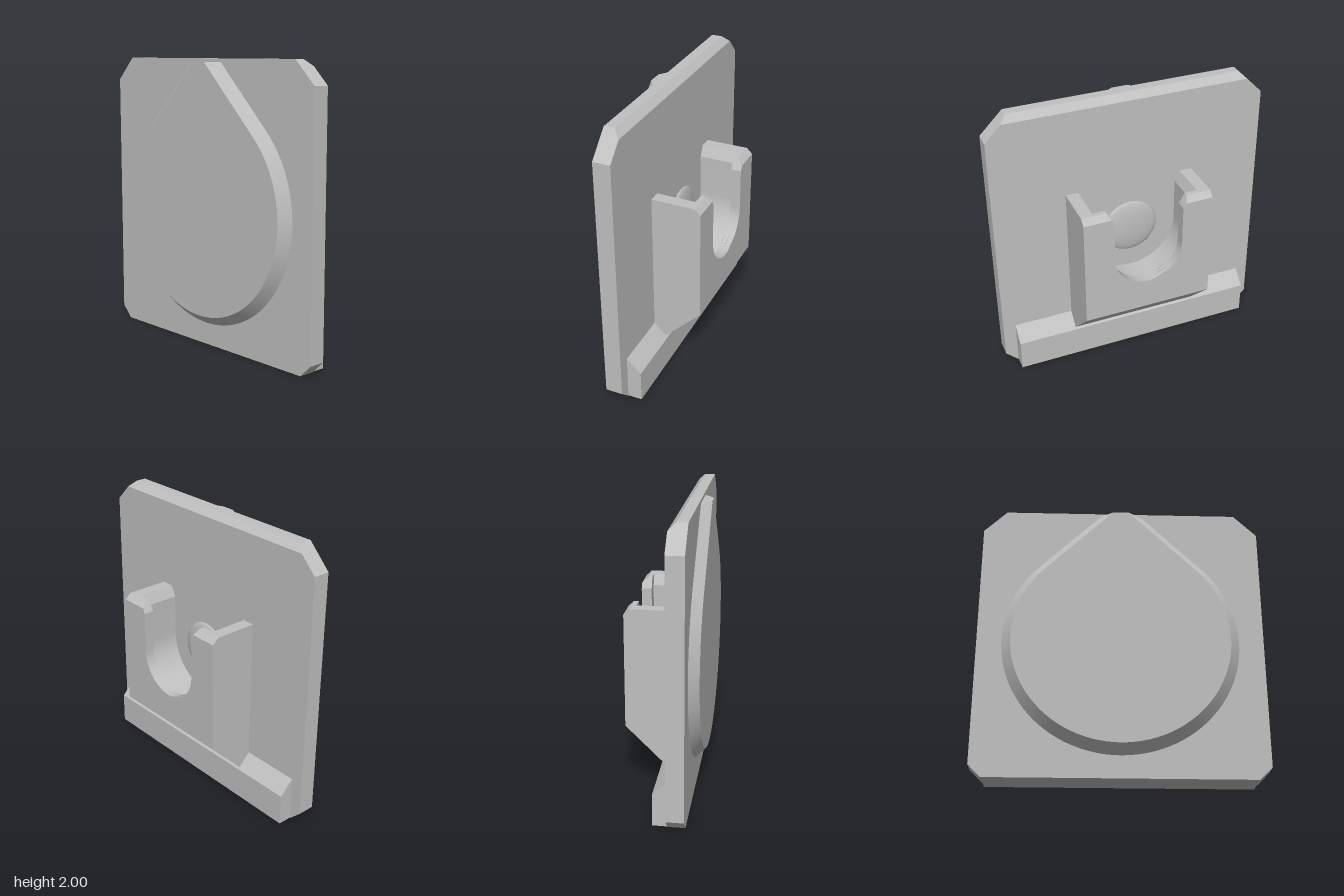
import * as THREE from 'three';
import { toCreasedNormals } from 'three/addons/utils/BufferGeometryUtils.js';

const grey = new THREE.MeshStandardMaterial({ color: 0xc0c0c0 });
grey.name = 'light grey';
const CENTRE = 0.97; // height of the slot, button and teardrop centre
const near = (a, b) => Math.abs(a - b) < 1e-4;

// Extrudes a (z, y) outline from x0 to x1; rule(v) may then move each vertex.
function slab(name, points, x0, x1, rule) {
  const shape = new THREE.Shape(points.map(([z, y]) => new THREE.Vector2(z, y)));
  const geo = new THREE.ExtrudeGeometry(shape, { depth: x1 - x0, bevelEnabled: false });
  geo.rotateY(Math.PI / 2).translate(x0, 0, 0);
  const pos = geo.attributes.position;
  const v = new THREE.Vector3();
  if (rule) {
    for (let i = 0; i < pos.count; i++) {
      rule(v.fromBufferAttribute(pos, i));
      pos.setXYZ(i, v.x, v.y, v.z);
    }
  }
  geo.deleteAttribute('normal');
  geo.deleteAttribute('uv');
  const mesh = new THREE.Mesh(toCreasedNormals(geo, 0.4), grey);
  mesh.name = name;
  return mesh;
}

// Points on an arc around the common centre
function arc(r, from, to, n) {
  return Array.from({ length: n + 1 }, (_, i) => {
    const a = from + (to - from) * i / n;
    return [r * Math.cos(a), CENTRE + r * Math.sin(a)];
  });
}

// Block outline with a U slot that flares at the top
function slotted(r, flare) {
  const top = 1.335, bottom = 0.235, w = 0.468;
  return [[-w, bottom], [w, bottom], [w, top], [flare, top], [r, 1.26],
    ...arc(r, 0, -Math.PI, 40), [-r, 1.26], [-flare, top], [-w, top]];
}

// The block's underside rises outwards at 45 degrees
const slopeBottom = v => { if (near(v.y, 0.235)) v.y = 0.235 + v.x; };

export function createModel() {
  const model = new THREE.Group();
  model.name = 'hookPlate';

  // Back plate with clipped corners and a bevelled top front edge
  const plate = [[-0.9, 0], [0.9, 0], [0.985, 0.085], [0.985, 1.84],
    [0.825, 2], [-0.825, 2], [-0.985, 1.84], [-0.985, 0.085]];
  model.add(slab('plateBack', plate, -0.203, -0.13));
  model.add(slab('plateFront', plate, -0.13, -0.083, v => {
    if (near(v.x, -0.083) && near(v.y, 2)) {
      v.y -= 0.045;
      v.z += Math.sign(v.z) * 0.045;
    }
  }));

  // Raised teardrop with a cut-off tip and tapered sides
  const R = 0.815, r = 0.75, tipY = 1.975;
  const half = q => CENTRE + q * Math.SQRT2 - tipY;
  const drop = [[half(R), tipY], ...arc(R, Math.PI / 4, -Math.PI * 1.25, 72), [-half(R), tipY]];
  model.add(slab('teardropRelief', drop, -0.27, -0.203, v => {
    if (!near(v.x, -0.27)) return;
    if (near(v.y, tipY)) v.z = Math.sign(v.z) * half(r);
    else {
      v.z *= r / R;
      v.y = CENTRE + (v.y - CENTRE) * r / R;
    }
  }));

  // Hook block: wide pocket behind, narrower slotted lip in front
  const hook = new THREE.Group();
  hook.name = 'hook';
  const lip = slotted(0.25, 0.29);
  hook.add(slab('pocket', slotted(0.343, 0.38), -0.083, 0.192, slopeBottom));
  hook.add(slab('lipBack', lip, 0.192, 0.225, slopeBottom));
  hook.add(slab('lipFront', lip, 0.225, 0.265, v => {
    slopeBottom(v);
    if (near(v.x, 0.265) && near(v.y, 1.335)) {
      v.y = 1.295;
      if (Math.abs(v.z) < 0.4) v.z = Math.sign(v.z) * 0.269;
    }
  }));
  model.add(hook);

  // Domed button inside the pocket
  const dome = new THREE.SphereGeometry(0.2, 48, 12, 0, Math.PI * 2, 0, Math.PI / 2);
  dome.scale(1, 0.17, 1).rotateZ(-Math.PI / 2).translate(-0.083, CENTRE, 0);
  const button = new THREE.Mesh(dome, grey);
  button.name = 'button';
  model.add(button);

  // Foot strip with a sloped top
  const strip = [[-0.895, 0], [0.895, 0], [0.895, 0.325], [-0.895, 0.325]];
  model.add(slab('footStrip', strip, -0.083, 0.017, v => {
    if (near(v.x, 0.017) && near(v.y, 0.325)) v.y = 0.225;
  }));

  return model;
}
